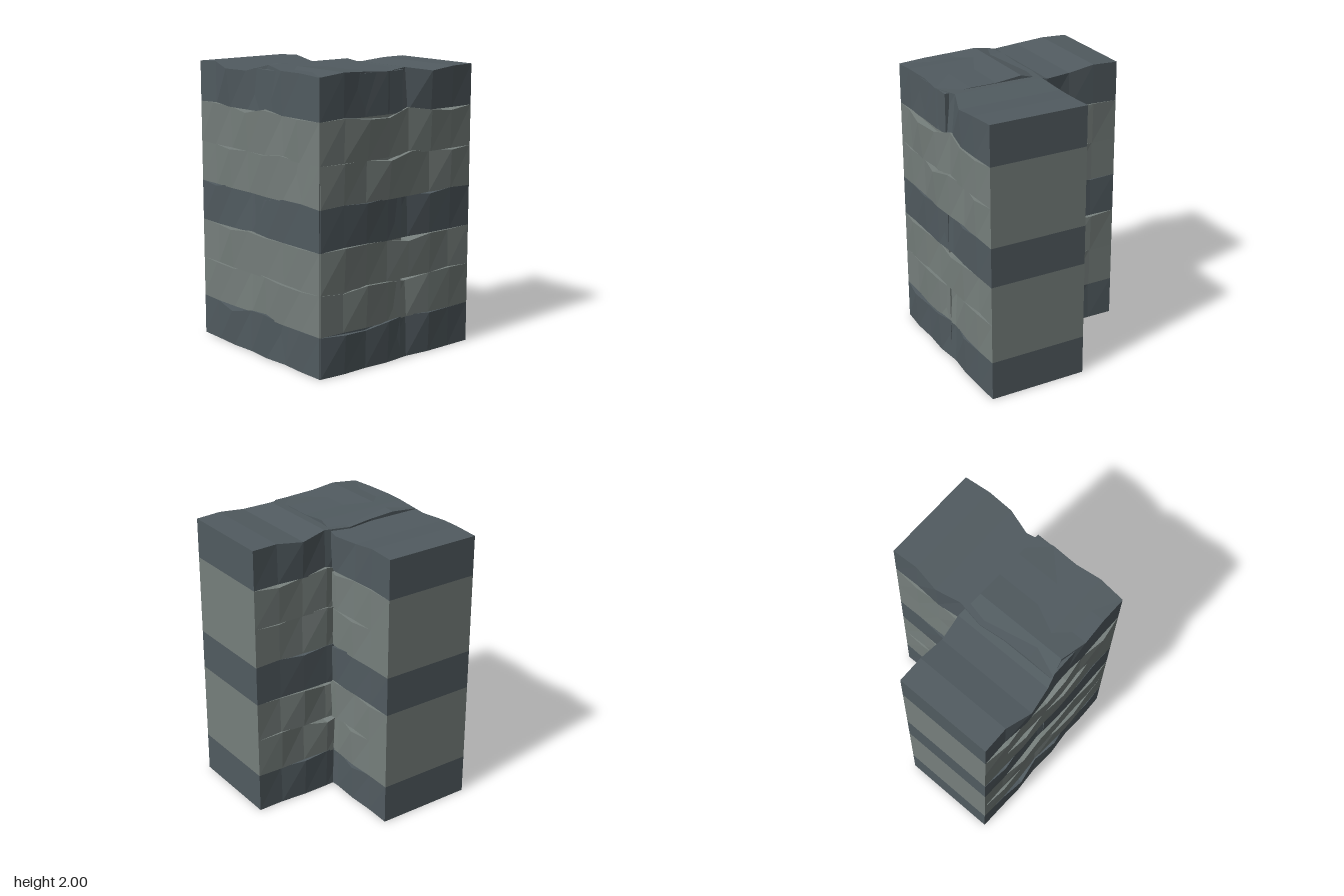
import * as THREE from 'three';

const HEIGHT = 0.2815;   // height of one course
const SEGMENTS = 7;      // bends along each beam

// Per course: [top edge, outer face, inner face] offsets in hundredths at the six inner stations
const frontBeams = [
  [[0, -3, 1, 3, -1, 0], [1, 3, 0, 3, -1, 1], [1, -1, 1, -2, 0, 1]],
  [[0, -1, 2, 1, 0, -1], [2, 1, -2, 2, 3, 1], [0, -2, 1, 0, 1, 0]],
  [[-1, -1, 1, 0, 0, 0], [0, 3, 2, 2, 1, 2], [-1, 1, -2, 1, 0, 0]],
  [[-1, 2, 0, -3, 1, 1], [2, 0, -3, 0, 1, 0], [1, 0, -2, 0, 1, 0]],
  [[0, -1, 0, 0, 2, 0], [1, 3, 1, 3, 2, -1], [0, -2, -1, 0, 1, 0]],
  [[1, 0, -2, 2, 0, 0], [3, 1, 3, 3, 0, 3], [-1, 0, -2, 1, 0, 0]],
  [[1, -2, -2, 3, 1, 1], [0, 5, 2, -3, 1, 0], [0, 1, -2, 0, 0, 0]],
];
const sideBeams = [
  [[-1, -2, 1, 1, 0, 0], [3, 1, 3, -2, 2, 1], [0, 0, 1, -1, -2, 1]],
  [[-2, 1, 0, -3, 0, 1], [0, 3, 2, -3, 1, 2], [0, 1, 0, -2, 1, -1]],
  [[1, 1, 0, -3, 0, -1], [3, 2, 0, 1, 2, -1], [0, 0, -1, 1, -2, 1]],
  [[1, 0, 1, 1, -1, 1], [1, 2, 1, -2, 1, 1], [0, 0, -2, -1, -1, 0]],
  [[0, 0, -2, 2, 1, -1], [2, 1, 4, 2, -1, 2], [0, 1, 0, -2, 1, 0]],
  [[1, -1, -2, 3, 0, -2], [2, 5, 2, -1, 2, 1], [0, 0, 1, -2, 0, -1]],
  [[2, 1, 0, 1, -2, 0], [1, -1, 0, -5, 2, 2], [0, 0, -2, 1, -2, 1]],
];

// A rough beam running along x, its outer face towards +z
function beamGeometry(start, end, inner, outer, base, [tops, outs, ins]) {
  const length = end - start;
  const box = new THREE.BoxGeometry(length, HEIGHT, outer - inner, SEGMENTS, 1, 1);
  box.translate((start + end) / 2, base + HEIGHT / 2, (inner + outer) / 2);
  const geometry = box.toNonIndexed();
  const p = geometry.attributes.position;
  const middle = (inner + outer) / 2;
  for (let i = 0; i < p.count; i++) {
    const station = Math.round(((p.getX(i) - start) / length) * SEGMENTS);
    if (station === 0 || station === SEGMENTS) continue;   // sawn ends stay square
    const k = station - 1;
    const top = p.getY(i) > base + HEIGHT / 2;
    const push = p.getZ(i) > middle ? outs[k] : ins[k];
    p.setZ(i, p.getZ(i) + (push / 100) * (top ? 1 : 0.4));
    if (top) p.setY(i, p.getY(i) + tops[k] / 100);
  }
  geometry.computeVertexNormals();
  return geometry;
}

export function createModel() {
  const dark = new THREE.MeshStandardMaterial({ color: 0x515b60, flatShading: true });
  dark.name = 'dark slate';
  const light = new THREE.MeshStandardMaterial({ color: 0x767f7c, flatShading: true });
  light.name = 'light grey';

  const model = new THREE.Group();
  model.name = 'cornerWall';
  const frontWing = new THREE.Group();
  frontWing.name = 'frontWing';
  const sideWing = new THREE.Group();
  sideWing.name = 'sideWing';
  sideWing.rotation.y = Math.PI / 2;   // outer faces turn to +x, beams run to the back
  model.add(frontWing, sideWing);

  // Seven courses, every third one dark
  for (let i = 0; i < 7; i++) {
    const material = i % 3 === 0 ? dark : light;
    const front = new THREE.Mesh(beamGeometry(-0.69, 0.63, -0.065, 0.635, i * HEIGHT, frontBeams[i]), material);
    front.name = `frontBeam${i + 1}`;
    frontWing.add(front);
    const side = new THREE.Mesh(beamGeometry(-0.63, 0.69, -0.068, 0.635, i * HEIGHT, sideBeams[i]), material);
    side.name = `sideBeam${i + 1}`;
    sideWing.add(side);
  }
  return model;
}
